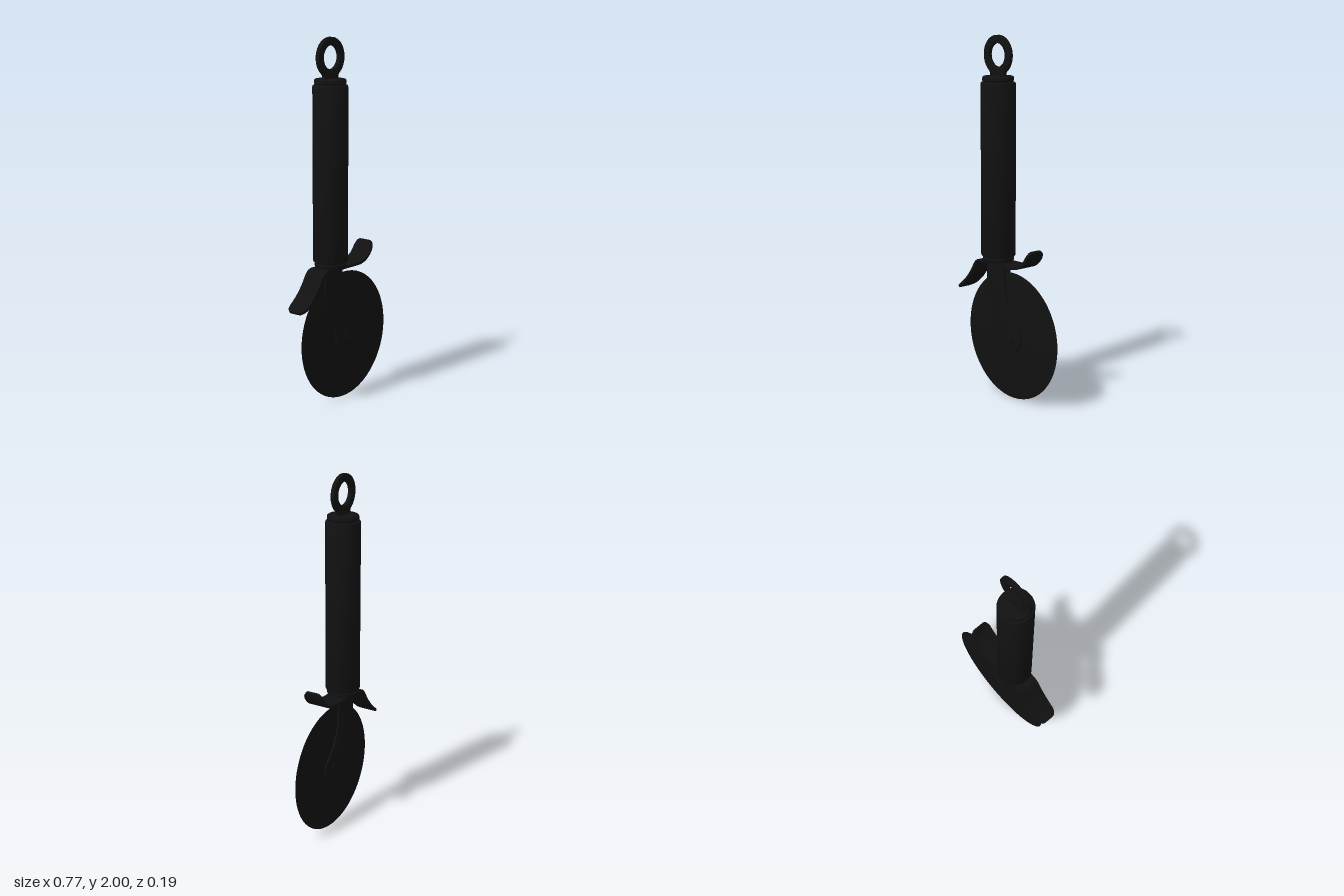
import * as THREE from 'three';
import { toCreasedNormals } from 'three/addons/utils/BufferGeometryUtils.js';

const HANDLE_X = -0.085, PIVOT_X = 0.03, PIVOT_Y = 0.36;
const V = (x, y) => new THREE.Vector2(x, y);

export function createModel() {
  const group = new THREE.Group();
  const material = new THREE.MeshStandardMaterial({ color: 0x111111 });
  const add = (name, geometry, x = 0, y = 0, z = 0) => {
    const mesh = new THREE.Mesh(geometry, material);
    mesh.name = name;
    mesh.position.set(x, y, z);
    group.add(mesh);
    return mesh;
  };
  const turn = (pairs, segments = 64) =>
    toCreasedNormals(new THREE.LatheGeometry(pairs.map(p => V(...p)), segments), 0.6);
  const plate = (shape, depth, bevel) => toCreasedNormals(
    new THREE.ExtrudeGeometry(shape, {
      depth: depth - 2 * bevel, bevelEnabled: true, bevelSize: bevel, bevelOffset: -bevel,
      bevelThickness: bevel, bevelSegments: 2, curveSegments: 40,
    }).translate(0, 0, bevel - depth / 2), 0.6);

  // Round grip with a stepped ferrule at each end
  add('handleGrip', turn([
    [0, 0.797], [0.087, 0.797], [0.093, 0.8], [0.095, 0.807],
    [0.095, 1.74], [0.093, 1.747], [0.087, 1.751], [0, 1.751],
  ]), HANDLE_X);
  add('lowerFerrule', turn([
    [0, 0.768], [0.079, 0.768], [0.084, 0.771], [0.086, 0.777], [0.086, 0.788], [0.082, 0.792], [0.082, 0.8],
  ]), HANDLE_X);
  add('upperFerrule', turn([
    [0.082, 1.748], [0.082, 1.755], [0.086, 1.759], [0.086, 1.771], [0.084, 1.778], [0.078, 1.782], [0, 1.782],
  ]), HANDLE_X);

  // Flat hanging ring with a flared neck
  const ring = new THREE.Shape();
  const R = 0.106, a = 0.66;
  ring.moveTo(-0.06, -0.14);
  ring.lineTo(0.06, -0.14);
  ring.lineTo(0.06, -0.12);
  ring.quadraticCurveTo(0.047, -0.1, R * Math.sin(a), -R * Math.cos(a));
  ring.absarc(0, 0, R, a - Math.PI / 2, 1.5 * Math.PI - a, false);
  ring.quadraticCurveTo(-0.047, -0.1, -0.06, -0.12);
  ring.closePath();
  ring.holes.push(new THREE.Path().absarc(0, 0, 0.063, 0, Math.PI * 2, true));
  add('hangingRing', plate(ring, 0.024, 0.004), HANDLE_X, 1.894);

  // Cutting wheel with a ground edge
  add('cuttingWheel', turn([
    [0, -0.004], [0.335, -0.004], [0.357, 0], [0.335, 0.004], [0, 0.004],
  ], 128), PIVOT_X, PIVOT_Y + 0.001).rotation.x = Math.PI / 2;

  // Fork: two curved arms and the bridge joining them
  const arm = new THREE.Shape();
  arm.moveTo(-0.155, 0.765);
  arm.lineTo(-0.155, 0.66);
  arm.bezierCurveTo(-0.152, 0.53, -0.07, 0.48, PIVOT_X - 0.093, PIVOT_Y);
  arm.absarc(PIVOT_X, PIVOT_Y, 0.093, Math.PI, Math.PI * 2 + 0.75, false);
  arm.bezierCurveTo(0.03, 0.49, -0.012, 0.57, -0.012, 0.68);
  arm.lineTo(-0.012, 0.765);
  arm.closePath();
  for (const side of [1, -1]) {
    const label = side > 0 ? 'front' : 'back';
    add(label + 'ForkArm', plate(arm, 0.011, 0.002), 0, 0, side * 0.0185);
    // Stepped pivot rivet
    add(label + 'Rivet', turn([
      [0.034, 0], [0.034, 0.024], [0.03, 0.028], [0.02, 0.028], [0.016, 0.025], [0, 0.025],
    ], 40), PIVOT_X, PIVOT_Y).rotation.x = side * Math.PI / 2;
  }
  add('forkBridge', new THREE.BoxGeometry(0.141, 0.04, 0.046), -0.0835, 0.748);

  // Finger guard: a flat strip bent along a curve, rounded at both ends
  const path = new THREE.CurvePath();
  const P = (x, y) => new THREE.Vector3(x, y, 0);
  path.add(new THREE.CubicBezierCurve3(P(-0.381, 0.569), P(-0.32, 0.598), P(-0.265, 0.655), P(-0.232, 0.71)));
  path.add(new THREE.CubicBezierCurve3(P(-0.232, 0.71), P(-0.208, 0.75), P(-0.2, 0.761), P(-0.165, 0.761)));
  path.add(new THREE.LineCurve3(P(-0.165, 0.761), P(0.075, 0.761)));
  path.add(new THREE.CubicBezierCurve3(P(0.075, 0.761), P(0.145, 0.761), P(0.19, 0.795), P(0.215, 0.868)));
  const length = path.getLength();
  const guard = new THREE.BoxGeometry(1, 0.014, 0.122, 120, 1, 1);
  const pos = guard.attributes.position;
  for (let i = 0; i < pos.count; i++) {
    // Ease the spacing so segments crowd at the rounded ends
    const u = 0.5 + 0.5 * Math.sin(pos.getX(i) * Math.PI);
    const point = path.getPointAt(u), t = path.getTangentAt(u), h = pos.getY(i);
    const d = Math.min(1, Math.min(u, 1 - u) * length / 0.055);
    const width = 0.45 + 0.55 * Math.sqrt(1 - (1 - d) ** 2);
    pos.setXYZ(i, point.x - t.y * h, point.y + t.x * h, pos.getZ(i) * width);
  }
  add('fingerGuard', toCreasedNormals(guard, 0.6));

  return group;
}
